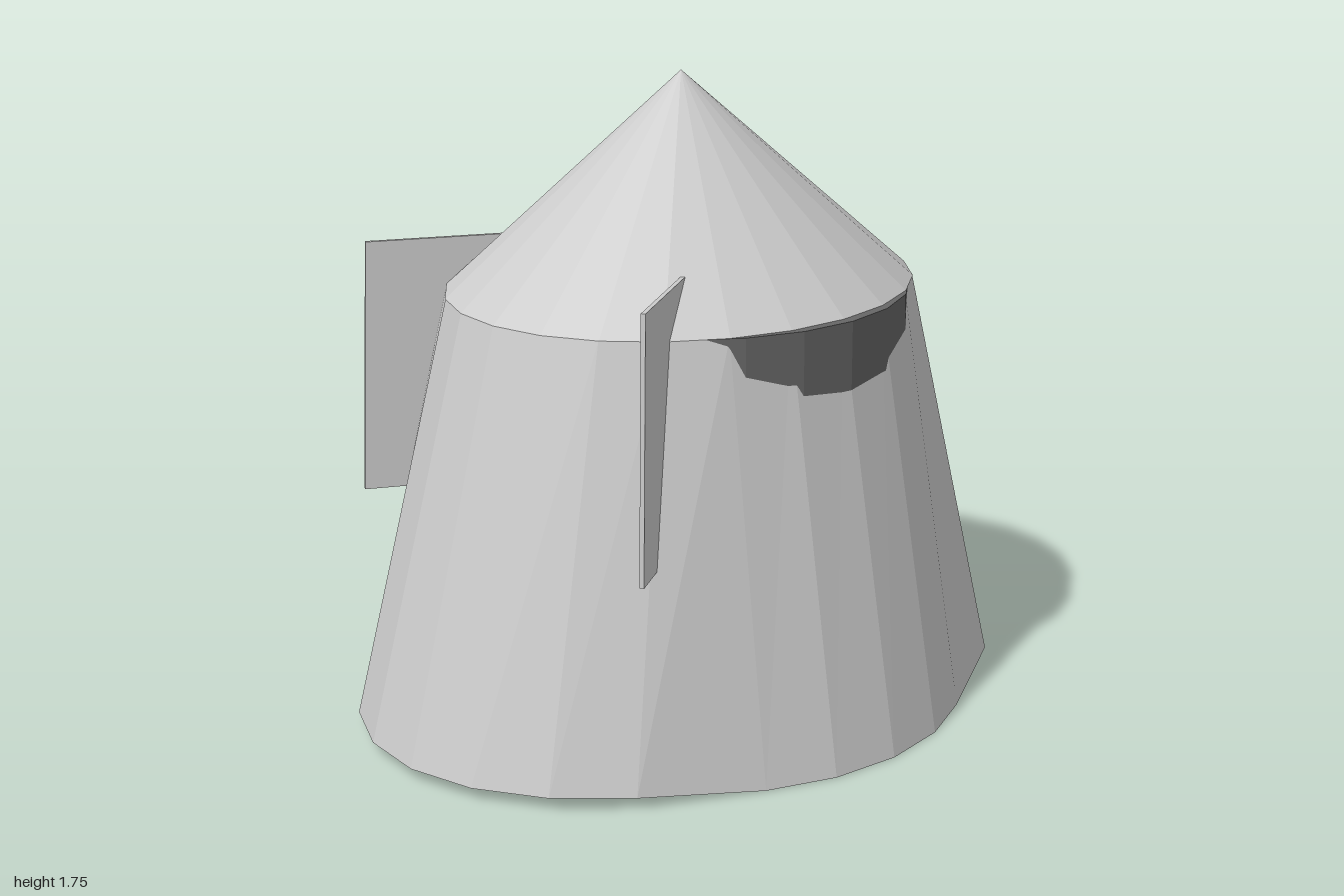
import * as THREE from 'three';

const grey = new THREE.MeshStandardMaterial({ color: 0xcccccc, flatShading: true, side: THREE.DoubleSide });
const dark = new THREE.MeshStandardMaterial({ color: 0x666666, flatShading: true, side: THREE.DoubleSide });

const SIDES = 24;
const BASE = 0.035, RIM = 1.17, APEX = 1.75;

export function createModel() {
  const group = new THREE.Group();
  const model = new THREE.Group();
  model.name = 'capsule';
  model.position.x = -0.015;
  group.add(model);

  const add = (name, geometry, x = 0, y = 0, z = 0, material = grey) => {
    const mesh = new THREE.Mesh(geometry, material);
    mesh.name = name;
    mesh.position.set(x, y, z);
    model.add(mesh);
    return mesh;
  };

  // Oval tapered shell, open below, with one side of the hem pulled out and down
  const shell = new THREE.CylinderGeometry(1, 1, 1, SIDES, 1, true);
  const p = shell.attributes.position;
  for (let i = 0; i < p.count; i++) {
    const s = p.getX(i), c = p.getZ(i);
    if (p.getY(i) > 0) p.setXYZ(i, s * 0.592, RIM, c * 0.685);
    else if (s > 0.8) p.setXYZ(i, s * 0.77 + 0.03, 0, c * 0.78);
    else p.setXYZ(i, s * 0.77, BASE, c);
  }
  shell.computeVertexNormals();
  add('shell', shell);

  // Oval pointed roof
  const roof = new THREE.ConeGeometry(1, APEX - RIM, SIDES, 1, true);
  roof.scale(0.595, 1, 0.685);
  add('roof', roof, 0, (APEX + RIM) / 2, 0);

  // Round ribbed drum inside, its upper rim breaking through both flanks
  const profile = [[0, 0.58]];
  for (let i = 0; i < 8; i++) {
    const y = 0.58 + i * 0.05;
    profile.push([0.61, y], [0.61, y + 0.025], [0.585, y + 0.025], [0.585, y + 0.05]);
  }
  profile.push([0.625, 0.98], [0.625, RIM], [0, RIM]);
  add('drum', new THREE.LatheGeometry(profile.map(([r, y]) => new THREE.Vector2(r, y)), SIDES), 0, 0, 0, dark);

  // Concentric steps under the drum
  for (let i = 0; i < 4; i++) {
    const r = 0.55 - i * 0.09;
    add('drumStep', new THREE.CylinderGeometry(r, r, 0.02, SIDES), 0, 0.575 - i * 0.012, 0, dark);
  }

  // Central post hanging from the drum
  add('post', new THREE.CylinderGeometry(0.06, 0.06, 0.5, 16), 0, 0.34, 0, dark);

  // Thin slanted fins at the two front corners
  const outline = new THREE.Shape([[-0.08, 0.6], [0.405, 0.6], [0.38, 1.3], [-0.08, 1.3]]
    .map(([x, y]) => new THREE.Vector2(x, y)));
  const fin = new THREE.ExtrudeGeometry(outline, { depth: 0.012, bevelEnabled: false });
  fin.translate(0, 0, -0.006);
  for (const side of [-1, 1]) {
    const mesh = add(side > 0 ? 'leftFin' : 'rightFin', fin, side * 0.345, 0, 0.34);
    mesh.rotation.y = side > 0 ? -Math.PI / 3 : -2 * Math.PI / 3;
  }

  // Equipment box near the front with layered plates and small fittings
  add('equipmentBox', new THREE.BoxGeometry(0.36, 0.3, 0.28), 0, 0.32, 0.4);
  for (let i = 0; i < 3; i++) {
    add('boxPlate', new THREE.BoxGeometry(0.38, 0.32, 0.02), 0, 0.34, 0.56 + i * 0.04);
  }
  for (const x of [-0.1, 0, 0.1]) {
    add('boxFitting', new THREE.BoxGeometry(0.06, 0.08, 0.06), x, 0.5, 0.3);
  }

  return group;
}
